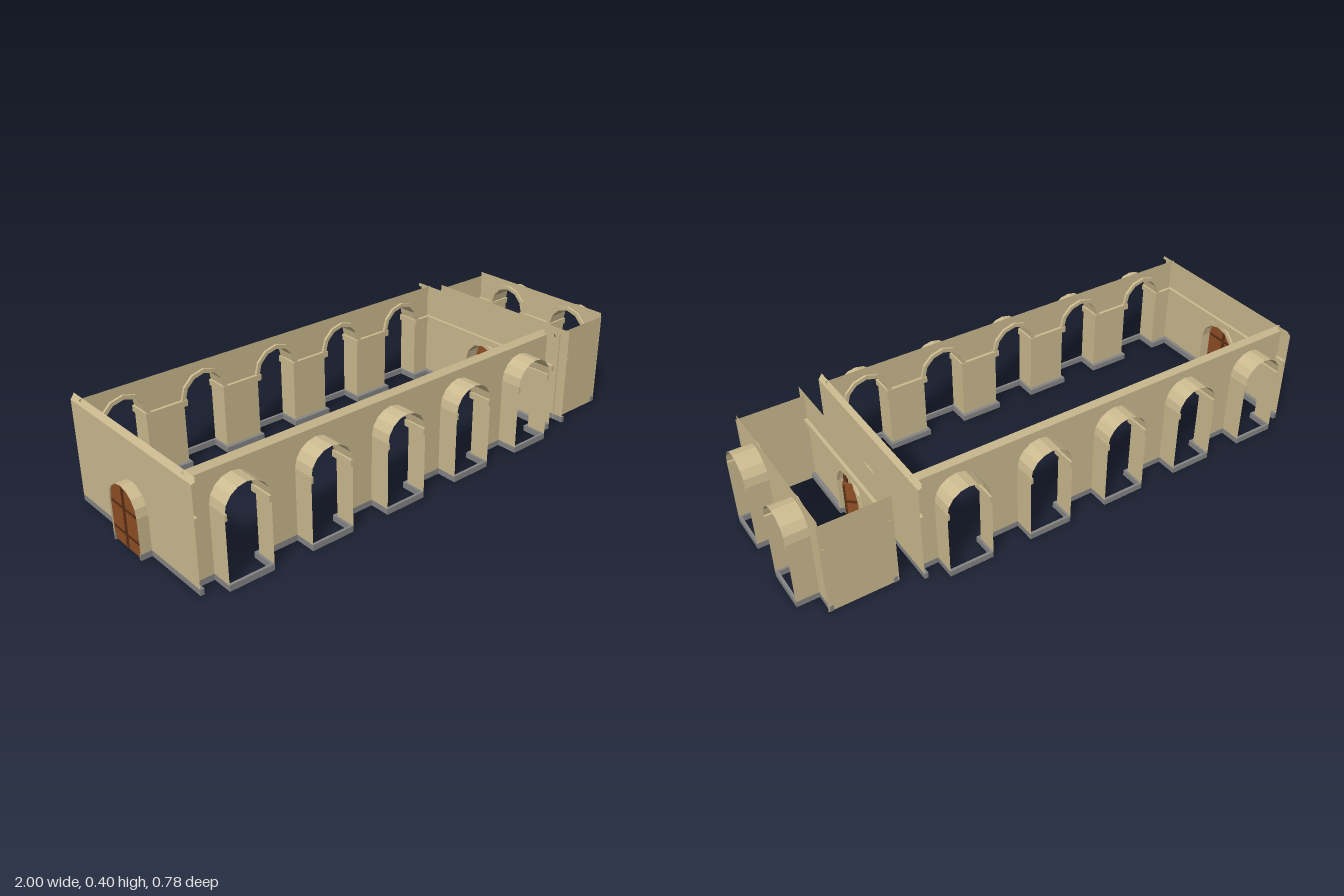
import * as THREE from 'three';

const stone = new THREE.MeshStandardMaterial({ color: 0xcdbb90, side: THREE.DoubleSide });
stone.name = 'sandstone';
const grey = new THREE.MeshStandardMaterial({ color: 0x858585, side: THREE.DoubleSide });
grey.name = 'greyPlinth';
const wood = new THREE.MeshStandardMaterial({ color: 0x8f4e24 });
wood.name = 'doorWood';
const darkWood = new THREE.MeshStandardMaterial({ color: 0x5a2f16 });
darkWood.name = 'darkDoorWood';

const BASE = 0.022, BAND0 = 0.242, BAND1 = 0.265, TOP = 0.377, CORNICE = 0.397;
const R = 0.082, TRIM = 0.014;

function add(parent, name, geometry, material) {
  const mesh = new THREE.Mesh(geometry, material);
  mesh.name = name;
  parent.add(mesh);
  return mesh;
}

// Box given by its minimum and maximum corners
function block(parent, name, x0, x1, y0, y1, z0, z1, material) {
  const geo = new THREE.BoxGeometry(x1 - x0, y1 - y0, z1 - z0);
  geo.translate((x0 + x1) / 2, (y0 + y1) / 2, (z0 + z1) / 2);
  return add(parent, name, geo, material);
}

// Outline of an arched opening, from the foot of one jamb to the other
function archPoints(c, spring, r, foot, steps = 8) {
  const pts = [new THREE.Vector2(c - r, foot)];
  for (let i = 0; i <= steps; i++) {
    const a = Math.PI * (1 - i / steps);
    pts.push(new THREE.Vector2(c + r * Math.cos(a), spring + r * Math.sin(a)));
  }
  pts.push(new THREE.Vector2(c + r, foot));
  return pts;
}

// Facetted surface joining two matching lines of points
function strip(lineA, lineB) {
  const pos = [];
  for (let i = 0; i < lineA.length - 1; i++) {
    for (const p of [lineA[i], lineB[i], lineA[i + 1], lineB[i], lineB[i + 1], lineA[i + 1]]) pos.push(...p);
  }
  const geo = new THREE.BufferGeometry();
  geo.setAttribute('position', new THREE.Float32BufferAttribute(pos, 3));
  geo.computeVertexNormals();
  return geo;
}

// Wall in its own frame: room side is +z, arched recesses run towards -z
function wall(name, a, b, openings, cornice) {
  const g = new THREE.Group();
  g.name = name;
  const outline = [new THREE.Vector2(a, BASE)];
  for (const o of openings) outline.push(...archPoints(o.c, o.spring, R, BASE));
  outline.push(new THREE.Vector2(b, BASE), new THREE.Vector2(b, TOP), new THREE.Vector2(a, TOP));
  add(g, 'wallFace', new THREE.ShapeGeometry(new THREE.Shape(outline)), stone);

  // Plinth and string course on the wall between the openings
  const runs = (tall) => {
    const list = [];
    let x = a;
    for (const o of openings.filter((o) => tall ? o.spring > 0.2 : true)) {
      list.push([x, o.c - R]);
      x = o.c + R;
    }
    list.push([x, b]);
    return list;
  };
  for (const [x0, x1] of runs(false)) block(g, 'plinth', x0, x1, 0, BASE, 0, TRIM, grey);
  for (const [x0, x1] of runs(true)) block(g, 'stringCourse', x0, x1, BAND0, BAND1, 0, TRIM - 0.002, stone);

  for (const o of openings) {
    // Moulding around the arch, carried down the jambs on doorways
    const foot = o.door ? BASE : o.spring;
    const ring = archPoints(o.c, o.spring, R + 0.013, foot, 6)
      .concat(archPoints(o.c, o.spring, R - 0.002, foot, 6).reverse());
    add(g, 'archMoulding', new THREE.ExtrudeGeometry(new THREE.Shape(ring),
      { depth: 0.01, bevelEnabled: false }), stone);
    if (!o.depth) continue;
    // Vaulted recess with its plinth and string course
    const pts = archPoints(o.c, o.spring, R, BASE);
    add(g, 'recess', strip(pts.map((p) => [p.x, p.y, 0]), pts.map((p) => [p.x, p.y, -o.depth])), stone);
    for (const s of [-1, 1]) {
      const e = o.c + s * R, i = e - s * 0.008;
      const x0 = Math.min(e, i), x1 = Math.max(e, i);
      block(g, 'recessPlinth', x0, x1, 0, BASE, -o.depth, TRIM, grey);
      if (!o.door) block(g, 'recessBand', x0, x1, BAND0, BAND1, -o.depth, TRIM - 0.002, stone);
    }
    if (!o.door) block(g, 'sillPlinth', o.c - R, o.c + R, 0, BASE, -o.depth, -o.depth + 0.01, grey);
  }
  // Sloping cornice leaning into the room
  if (cornice) {
    add(g, 'cornice', strip([[a, TOP, 0], [b, TOP, 0]], [[a, CORNICE, TRIM], [b, CORNICE, TRIM]]), stone);
    add(g, 'corniceSoffit', strip([[a, TOP, 0], [b, TOP, 0]], [[a, TOP + 0.006, TRIM], [b, TOP + 0.006, TRIM]]), stone);
    add(g, 'corniceFace', strip([[a, TOP + 0.006, TRIM], [b, TOP + 0.006, TRIM]],
      [[a, CORNICE, TRIM], [b, CORNICE, TRIM]]), stone);
  }
  return g;
}

// Half-arch door leaf hinged at x = 0
function doorLeaf() {
  const g = new THREE.Group();
  g.name = 'doorLeaf';
  const w = 0.079, spring = 0.15;
  const pts = [new THREE.Vector2(0, 0.005), new THREE.Vector2(w, 0.005)];
  for (let i = 0; i <= 4; i++) {
    const t = Math.PI / 2 * (1 + i / 4);
    pts.push(new THREE.Vector2(w + w * Math.cos(t), spring + w * Math.sin(t)));
  }
  const geo = new THREE.ExtrudeGeometry(new THREE.Shape(pts), { depth: 0.006, bevelEnabled: false });
  geo.translate(0, 0, -0.003);
  add(g, 'leaf', geo, wood);
  for (const y of [0.05, 0.145]) block(g, 'strap', 0.006, 0.073, y, y + 0.01, -0.0045, 0.0045, darkWood);
  block(g, 'stile', 0.072, 0.079, 0.01, 0.222, -0.0042, 0.0042, darkWood);
  return g;
}

export function createModel() {
  const model = new THREE.Group();
  model.name = 'arcadedHall';
  const place = (obj, x, z, turn) => {
    obj.position.set(x, 0, z);
    obj.rotation.y = turn;
    model.add(obj);
    return obj;
  };
  const half = Math.PI / 2;

  // Long arcaded walls of the hall
  const bays = [-2, -1, 0, 1, 2].map((i) => ({ c: i * 0.3125, spring: BAND1 - 0.002, depth: 0.079 }));
  place(wall('frontArcade', -0.7775, 0.7775, bays, true), -0.1775, 0.311, Math.PI);
  place(wall('backArcade', -0.7775, 0.7775, bays, true), -0.1775, -0.313, 0);

  // End walls of the hall with their doorways
  const door = (depth) => [{ c: 0, spring: 0.15, depth, door: true }];
  place(wall('rightEndWall', -0.35, 0.355, door(0.04), true), -0.96, 0, half);
  place(wall('leftEndWall', -0.355, 0.35, door(0.075), true), 0.605, 0, -half);

  // Antechamber: inner wall, arched outer wall and plain sides
  place(wall('antechamberInnerWall', -0.35, 0.315, door(0), false), 0.68, 0, half);
  const windows = [-0.157, 0.157].map((c) => ({ c, spring: BAND1 - 0.002, depth: 0.08 }));
  place(wall('antechamberOuterWall', -0.315, 0.312, windows, false), 0.92, 0, -half);
  for (const z of [-0.313, 0.311]) {
    const side = add(model, 'antechamberSide', new THREE.PlaneGeometry(0.25, 0.36), stone);
    side.position.set(0.8, 0.18, z);
  }

  // Closed double door at one end
  place(doorLeaf(), -0.993, -0.08, -half);
  place(doorLeaf(), -0.993, 0.08, -half).scale.x = -1;
  // Double door left ajar at the other
  place(doorLeaf(), 0.655, -0.08, -Math.atan2(0.05, 0.055));
  place(doorLeaf(), 0.655, 0.08, Math.atan2(0.07, 0.035));
  return model;
}
